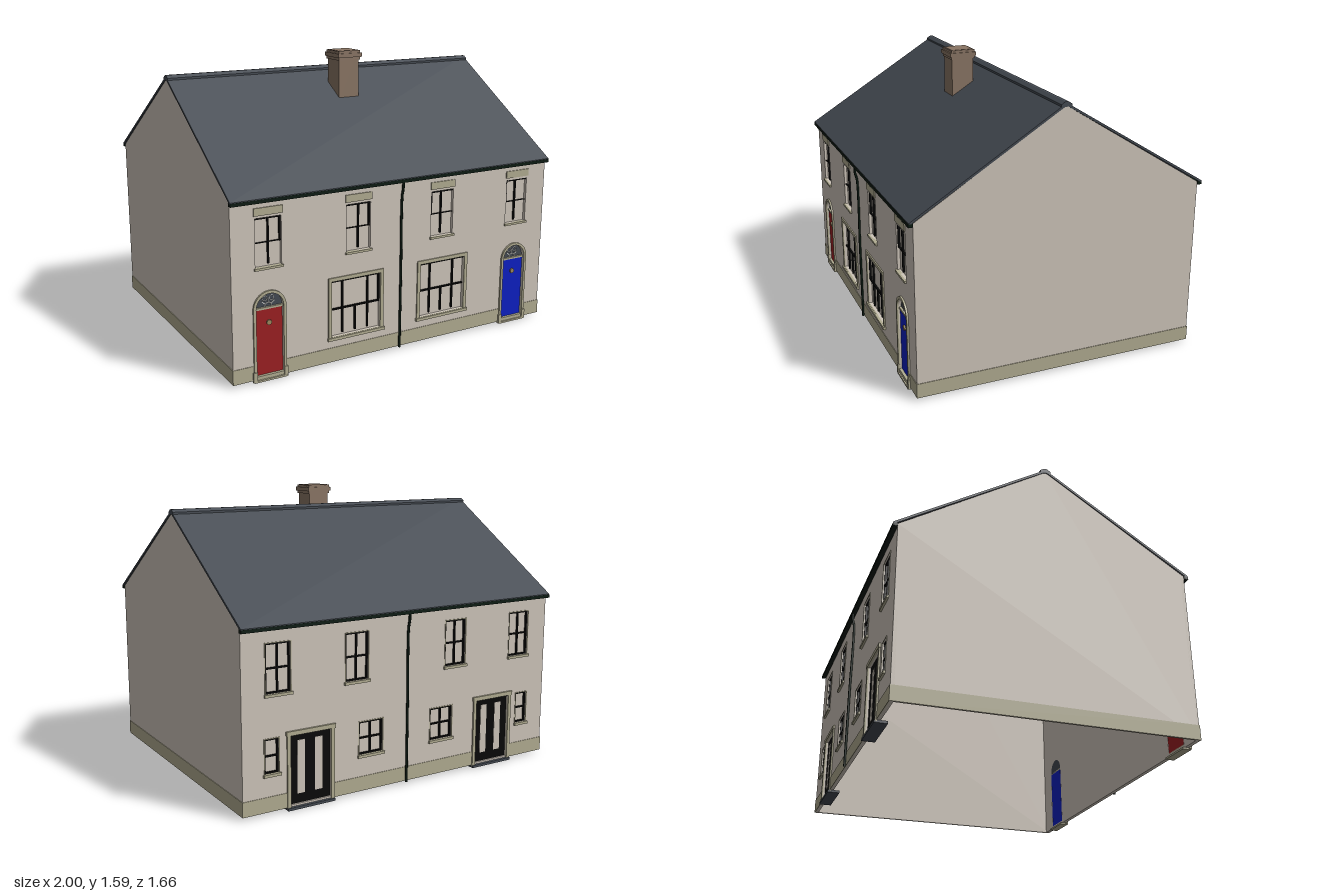
import * as THREE from 'three';

const mat = (name, color, side = THREE.FrontSide) => {
  const m = new THREE.MeshStandardMaterial({ color, side });
  m.name = name;
  return m;
};

export function createModel() {
  const M = {
    wall: mat('wall render', 0xcfc6bb, THREE.DoubleSide),
    stone: mat('cream stone', 0xb2ad92),
    slate: mat('roof slate', 0x444a52),
    brick: mat('chimney brick', 0x8a7564),
    gutter: mat('gutter green', 0x0a1a11),
    black: mat('black frame', 0x080808),
    red: mat('red door', 0x9c1f22),
    blue: mat('blue door', 0x0c20c4),
    white: mat('white bars', 0xe2e2de),
    brass: mat('knocker brass', 0xa08a60),
  };
  const W = 0.995, D = 0.805, BASE = 0.015, EAVE = 0.965, RIDGE = 1.465, T = 0.02;
  const house = new THREE.Group();
  house.name = 'house';

  const add = (parent, name, geo, m, x = 0, y = 0, z = 0) => {
    const mesh = new THREE.Mesh(geo, m);
    mesh.name = name;
    mesh.position.set(x, y, z);
    parent.add(mesh);
    return mesh;
  };
  // box given by its limits
  const slab = (parent, name, m, x0, x1, y0, y1, z0, z1) =>
    add(parent, name, new THREE.BoxGeometry(x1 - x0, y1 - y0, z1 - z0), m,
      (x0 + x1) / 2, (y0 + y1) / 2, (z0 + z1) / 2);
  const trace = (path, pts) => {
    pts.forEach(([x, y], i) => (i ? path.lineTo(x, y) : path.moveTo(x, y)));
    path.closePath();
    return path;
  };
  const rect = (path, x0, x1, y0, y1) => trace(path, [[x0, y0], [x1, y0], [x1, y1], [x0, y1]]);
  // door opening with a round head
  const arch = (path, cx, r, y0, yc) => {
    path.moveTo(cx - r, y0);
    path.lineTo(cx + r, y0);
    path.lineTo(cx + r, yc);
    path.absarc(cx, yc, r, 0, Math.PI, false);
    path.lineTo(cx - r, y0);
    return path;
  };
  const extrude = (shape, depth) =>
    new THREE.ExtrudeGeometry(shape, { depth, bevelEnabled: false, curveSegments: 20 });

  // A facade lies at z = 0 of its group and looks along +z
  const facade = (name, holes, gaps) => {
    const g = new THREE.Group();
    g.name = name;
    const shape = rect(new THREE.Shape(), -W, W, BASE, EAVE - 0.01);
    shape.holes.push(...holes);
    add(g, name + 'Wall', extrude(shape, T), M.wall, 0, 0, -T);
    // plinth stops at the doors
    const edges = [-W, ...gaps.flat(), W];
    for (let i = 0; i < edges.length; i += 2)
      slab(g, 'plinth', M.stone, edges[i], edges[i + 1], BASE, 0.095, -0.001, 0.003);
    // gutter and downpipe
    slab(g, 'gutter', M.gutter, -1, 1, 0.948, 0.966, 0, 0.025);
    const pipe = new THREE.CatmullRomCurve3([[0.008, 0.01], [0.008, 0.45], [0.008, 0.88], [0.018, 0.92], [0.018, 0.955]]
      .map(([z, y]) => new THREE.Vector3(-0.003, y, z)));
    add(g, 'downpipe', new THREE.TubeGeometry(pipe, 24, 0.007, 8), M.gutter);
    house.add(g);
    return g;
  };
  const pane = (g, x0, x1, y0, y1) => slab(g, 'pane', M.wall, x0, x1, y0, y1, -T, -T + 0.003);
  const bar = (g, x0, x1, y0, y1) => slab(g, 'glazingBar', M.black, x0, x1, y0, y1, -T + 0.002, -0.006);
  const vBar = (g, x, y0, y1, t = 0.004) => bar(g, x - t, x + t, y0, y1);
  const hBar = (g, y, x0, x1, t = 0.004) => bar(g, x0, x1, y - t, y + t);
  const border = (g, name, x0, x1, y0, y1, t, d) => {
    const s = rect(new THREE.Shape(), x0 - t, x1 + t, y0 - t, y1 + t);
    s.holes.push(rect(new THREE.Path(), x0, x1, y0, y1));
    add(g, name, extrude(s, d), M.stone);
  };

  // Front: sash windows, wide windows and arched doors
  const sides = [-1, 1], uppers = [0.79, 0.268], YC = 0.395;
  const frontHoles = [];
  for (const s of sides) {
    for (const u of uppers) frontHoles.push(rect(new THREE.Path(), s * u - 0.073, s * u + 0.073, 0.612, 0.867));
    frontHoles.push(rect(new THREE.Path(), s * 0.28 - 0.15, s * 0.28 + 0.15, 0.155, 0.465));
    frontHoles.push(arch(new THREE.Path(), s * 0.79, 0.078, 0.03, YC));
  }
  const front = facade('front', frontHoles, [[-0.88, -0.7], [0.7, 0.88]]);
  front.position.z = D;

  for (const s of sides) {
    for (const u of uppers) {
      const c = s * u;
      pane(front, c - 0.073, c + 0.073, 0.612, 0.867);
      hBar(front, 0.862, c - 0.073, c + 0.073);
      hBar(front, 0.738, c - 0.073, c + 0.073, 0.0015);
      vBar(front, c + s * -0.003, 0.625, 0.862);
      vBar(front, c - s * 0.068, 0.735, 0.862);
      slab(front, 'lintel', M.stone, c - 0.08, c + 0.08, 0.88, 0.92, -0.001, 0.006);
      slab(front, 'sill', M.stone, c - 0.08, c + 0.08, 0.6, 0.612, -0.01, 0.012);
    }
    // wide ground floor window
    const c = s * 0.28, at = (d) => c - s * d;
    pane(front, c - 0.15, c + 0.15, 0.155, 0.465);
    hBar(front, 0.459, c - 0.15, c + 0.15);
    hBar(front, 0.305, c - 0.138, c + 0.148);
    for (const d of [-0.078, 0.077]) vBar(front, at(d), 0.168, 0.46);
    vBar(front, at(0), 0.168, 0.305);
    vBar(front, at(0.146), 0.305, 0.46);
    border(front, 'windowSurround', c - 0.15, c + 0.15, 0.155, 0.465, 0.02, 0.007);
    slab(front, 'sill', M.stone, c - 0.175, c + 0.175, 0.138, 0.154, -0.01, 0.015);

    // door with fanlight
    const x = s * 0.79;
    slab(front, 'frontDoor', s < 0 ? M.red : M.blue, x - 0.076, x + 0.076, 0.03, 0.388, -T, -0.008);
    slab(front, 'transom', M.stone, x - 0.078, x + 0.078, 0.386, 0.397, -T, -0.003);
    add(front, 'fanlight', extrude(arch(new THREE.Shape(), x, 0.078, YC - 0.003, YC), 0.005), M.slate, 0, 0, -T);
    add(front, 'fanArc', new THREE.TorusGeometry(0.02, 0.003, 6, 16, Math.PI), M.white, x, YC + 0.002, -0.013);
    for (const a of [-0.85, 0, 0.85]) {
      const ray = add(front, 'fanRay', new THREE.BoxGeometry(0.004, 0.026, 0.004), M.white,
        x + Math.sin(a) * 0.034, YC + Math.cos(a) * 0.034, -0.013);
      ray.rotation.z = -a;
    }
    for (const k of sides)
      add(front, 'fanLoop', new THREE.TorusGeometry(0.013, 0.002, 6, 16), M.white, x + k * 0.019, YC + 0.046, -0.013);
    const surround = arch(new THREE.Shape(), x, 0.092, BASE, YC);
    surround.holes.push(arch(new THREE.Path(), x, 0.077, BASE + 0.001, YC));
    add(front, 'doorSurround', extrude(surround, 0.01), M.stone);
    for (const k of sides)
      slab(front, 'jambBase', M.stone, x + k * 0.087 - 0.011, x + k * 0.087 + 0.011, 0.006, 0.06, -0.001, 0.014);
    slab(front, 'threshold', M.stone, x - 0.077, x + 0.077, 0.012, 0.034, -T, 0.008);
    slab(front, 'doorStep', M.stone, x - 0.09, x + 0.09, 0.004, 0.014, -0.035, 0.015);
    const knocker = add(front, 'knocker', new THREE.CylinderGeometry(0.014, 0.014, 0.01, 14), M.brass, x, 0.313, -0.005);
    knocker.rotation.x = Math.PI / 2;
  }

  // Back: casement windows and garden doors, as [centre, half width, bottom, top, bars]
  const backWindows = [
    [0.79, 0.07, 0.625, 0.88, true], [0.325, 0.07, 0.625, 0.88, true],
    [0.83, 0.04, 0.215, 0.395, false], [0.235, 0.075, 0.215, 0.395, true],
  ];
  const backHoles = [];
  for (const s of sides) {
    for (const [c, h, y0, y1] of backWindows) backHoles.push(rect(new THREE.Path(), s * c - h, s * c + h, y0, y1));
    backHoles.push(rect(new THREE.Path(), s * 0.605 - 0.12, s * 0.605 + 0.12, 0.025, 0.395));
  }
  const back = facade('back', backHoles, [[-0.735, -0.475], [0.475, 0.735]]);
  back.rotation.y = Math.PI;
  back.position.z = -D;

  for (const s of sides) {
    for (const [c0, h, y0, y1, cross] of backWindows) {
      const c = s * c0, mid = (y0 + y1) / 2;
      pane(back, c - h, c + h, y0, y1);
      for (const k of sides) vBar(back, c + k * (h - 0.004), y0, y1);
      for (const y of [y0 + 0.004, mid, y1 - 0.004]) hBar(back, y, c - h, c + h);
      if (cross) vBar(back, c, y0, y1);
      border(back, 'windowSurround', c - h, c + h, y0, y1, 0.005, 0.003);
      slab(back, 'sill', M.stone, c - h - 0.01, c + h + 0.01, y0 - 0.015, y0, -0.01, 0.012);
    }
    // pair of glazed garden doors
    const x = s * 0.605;
    slab(back, 'gardenDoors', M.black, x - 0.12, x + 0.12, 0.015, 0.395, -T, -0.01);
    for (const k of sides)
      slab(back, 'doorGlass', M.wall, x + k * 0.052 - 0.022, x + k * 0.052 + 0.022, 0.075, 0.36, -0.012, -0.008);
    for (const k of sides)
      slab(back, 'doorJamb', M.stone, x + k * 0.13 - 0.01, x + k * 0.13 + 0.01, 0.008, 0.395, -0.001, 0.009);
    slab(back, 'doorHead', M.stone, x - 0.145, x + 0.145, 0.395, 0.418, -0.001, 0.012);
    slab(back, 'gardenStep', M.slate, x - 0.14, x + 0.14, 0, 0.014, -0.055, 0.015);
  }

  // Gable ends; profiles are drawn in z and y, then swept along x
  const sweep = (name, pts, x0, x1, m) => {
    const geo = extrude(trace(new THREE.Shape(), pts), x1 - x0);
    geo.rotateY(Math.PI / 2);
    return add(house, name, geo, m, x0);
  };
  const gable = [[-D, BASE], [D, BASE], [D, EAVE], [0, RIDGE], [-D, EAVE]];
  sweep('rightGable', gable, -W, -W + 0.01, M.wall);
  sweep('leftGable', gable, W - 0.01, W, M.wall);
  for (const s of sides)
    slab(house, 'gablePlinth', M.stone, s * W - 0.003, s * W + 0.003, BASE, 0.095, -D - 0.003, D + 0.003);

  // Roof and ridge
  sweep('roof', [[-0.828, 0.956], [0, RIDGE], [0.828, 0.956], [0.828, 0.97], [0, RIDGE + 0.014], [-0.828, 0.97]], -1, 1, M.slate);
  sweep('ridge', [[-0.03, 1.459], [0.03, 1.459], [0.03, 1.472], [0.008, 1.486], [-0.008, 1.486], [-0.03, 1.472]], -1, 1, M.slate);

  // Chimney with stepped cap
  const chimney = new THREE.Group();
  chimney.name = 'chimney';
  chimney.position.z = 0.184;
  house.add(chimney);
  for (const [name, h, y0, y1] of [['stack', 0.064, 1.3, 1.59], ['lowerCap', 0.07, 1.537, 1.552],
    ['middleCap', 0.077, 1.552, 1.575], ['upperCap', 0.07, 1.575, 1.588]])
    slab(chimney, name, M.brick, -h, h, y0, y1, -h, h);

  return house;
}
